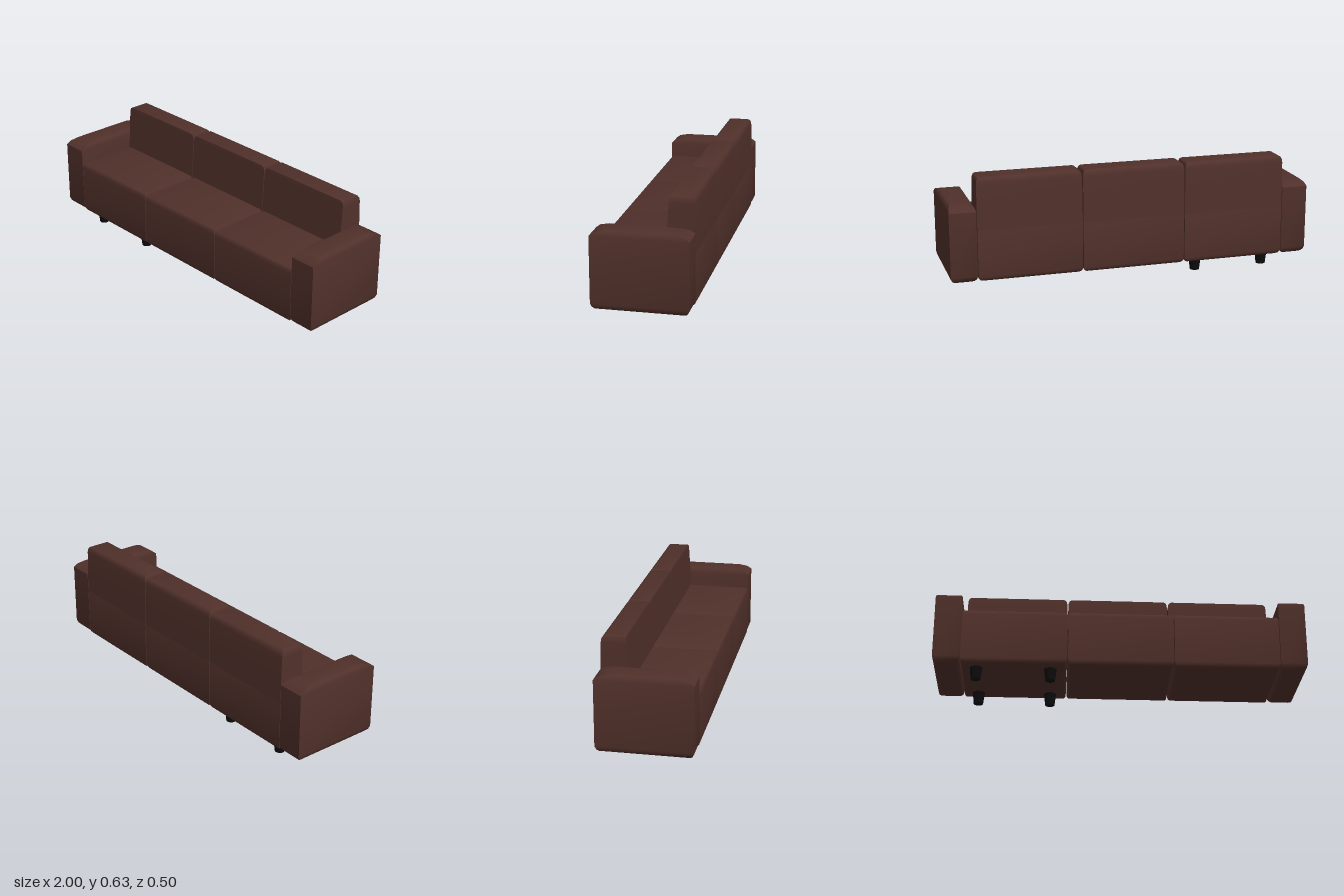
import * as THREE from 'three';
import { toCreasedNormals } from 'three/addons/utils/BufferGeometryUtils.js';

// Upholstered block: stacked rectangles, each level [y, halfWidth, zBack, zFront]
function stackedBlock(levels) {
  const pos = [], idx = [];
  for (const [y, w, z0, z1] of levels) pos.push(-w, y, z1, w, y, z1, w, y, z0, -w, y, z0);
  for (let i = 0; i < levels.length - 1; i++) {
    for (let k = 0; k < 4; k++) {
      const a = i * 4 + k, b = i * 4 + (k + 1) % 4;
      idx.push(a, b, b + 4, a, b + 4, a + 4);
    }
  }
  const t = (levels.length - 1) * 4;
  idx.push(0, 2, 1, 0, 3, 2, t, t + 1, t + 2, t, t + 2, t + 3);
  const g = new THREE.BufferGeometry();
  g.setAttribute('position', new THREE.Float32BufferAttribute(pos, 3));
  g.setIndex(idx);
  return toCreasedNormals(g, 0.6);
}

export function createModel() {
  const sofa = new THREE.Group();
  sofa.name = 'sofa';
  const fabric = new THREE.MeshStandardMaterial({ color: 0x50302a });
  const black = new THREE.MeshStandardMaterial({ color: 0x0c0c0c });

  const add = (name, geometry, material, x, y = 0, z = 0) => {
    const mesh = new THREE.Mesh(geometry, material);
    mesh.name = name;
    mesh.position.set(x, y, z);
    sofa.add(mesh);
  };

  // Seat block with softened bottom and top edges
  const seat = stackedBlock([
    [0.065, 0.258, -0.225, 0.225],
    [0.072, 0.272, -0.24, 0.24],
    [0.082, 0.28, -0.247, 0.247],
    [0.095, 0.283, -0.25, 0.25],
    [0.345, 0.283, -0.25, 0.25],
    [0.362, 0.281, -0.245, 0.247],
    [0.371, 0.276, -0.24, 0.241],
    [0.375, 0.266, -0.235, 0.232],
  ]);

  // Backrest: front leans back slightly, rear top edge is rounded
  const back = stackedBlock([
    [0.345, 0.283, -0.25, -0.101],
    [0.45, 0.283, -0.249, -0.106],
    [0.595, 0.282, -0.244, -0.115],
    [0.612, 0.28, -0.241, -0.116],
    [0.624, 0.274, -0.234, -0.117],
    [0.63, 0.262, -0.222, -0.118],
  ]);

  for (const x of [-0.57, 0, 0.57]) {
    add('seat', seat, fabric, x);
    add('backrest', back, fabric, x);
  }

  // Armrests: crowned top, rounded underside
  const arm = stackedBlock([
    [0.064, 0.042, -0.218, 0.218],
    [0.07, 0.056, -0.23, 0.23],
    [0.082, 0.067, -0.242, 0.242],
    [0.1, 0.072, -0.25, 0.25],
    [0.45, 0.072, -0.25, 0.25],
    [0.467, 0.067, -0.228, 0.228],
    [0.479, 0.056, -0.18, 0.18],
    [0.484, 0.04, -0.115, 0.115],
  ]);
  add('leftArmrest', arm, fabric, 0.928);
  add('rightArmrest', arm, fabric, -0.928);

  // Four tapered legs under the right-hand seat
  const leg = new THREE.CylinderGeometry(0.034, 0.026, 0.07, 20);
  for (const x of [-0.77, -0.375]) {
    for (const z of [-0.17, 0.172]) add('leg', leg, black, x, 0.035, z);
  }
  return sofa;
}
